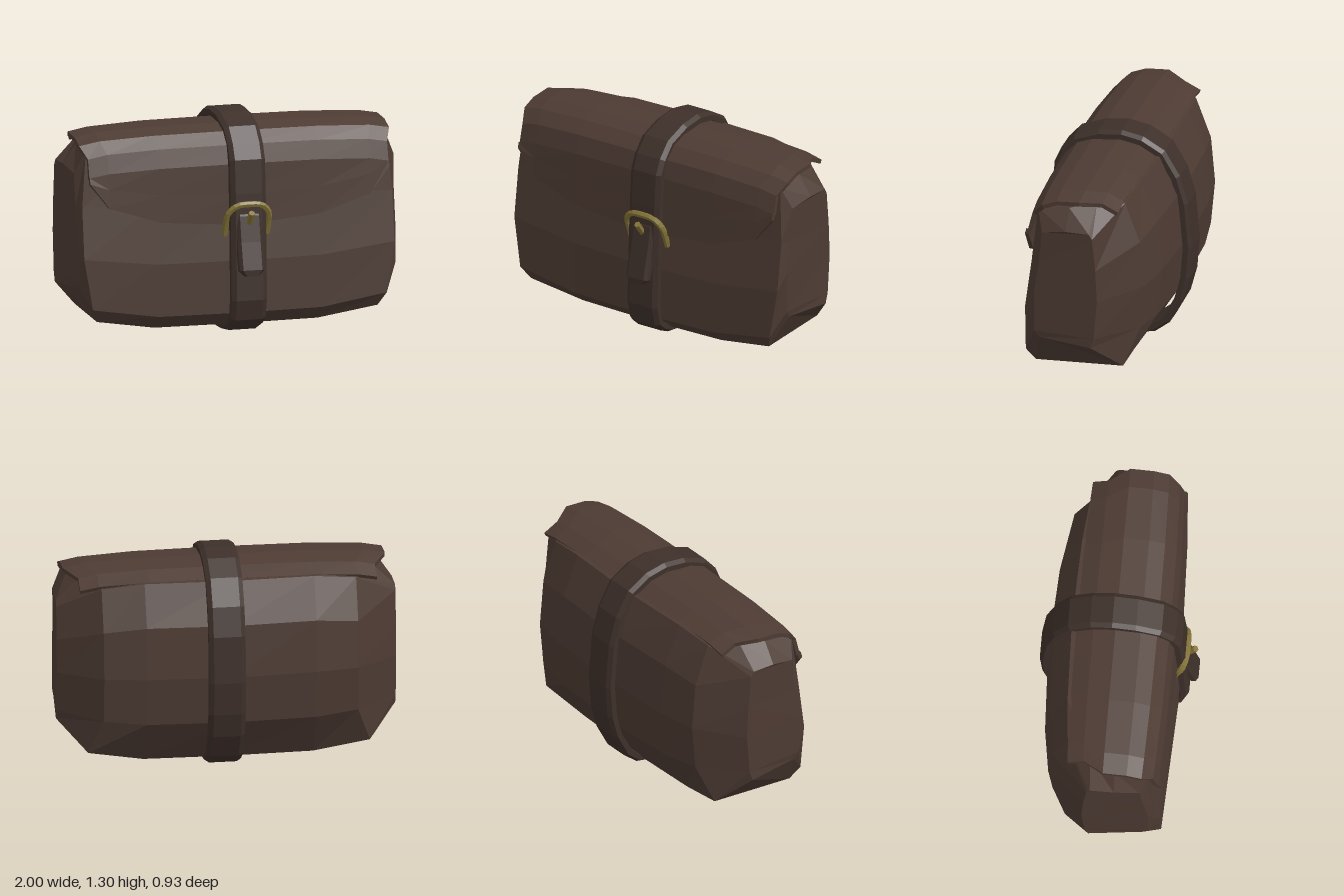
import * as THREE from 'three';

const material = color => new THREE.MeshStandardMaterial({ color, flatShading: true, roughness: 0.8, side: THREE.DoubleSide });
const leather = material(0x4d3b33), darkLeather = material(0x3e302a), brass = material(0x857538);

// Skin a series of equal rings; either capped at both ends or joined into a loop.
function loft(rings, loop = false) {
  const n = rings[0].length, m = rings.length, index = [];
  const quad = (a, b, c, d) => index.push(a, b, c, a, c, d);
  for (let j = 0; j < (loop ? m : m - 1); j++)
    for (let i = 0; i < n; i++) {
      const k = (i + 1) % n, r = j * n, s = ((j + 1) % m) * n;
      quad(r + i, s + i, s + k, r + k);
    }
  if (!loop)
    for (let i = 0; i < n / 2 - 1; i++) {
      const e = (m - 1) * n;
      quad(e + i, e + n - 1 - i, e + n - 2 - i, e + i + 1);
      quad(i, i + 1, n - 2 - i, n - 1 - i);
    }
  const g = new THREE.BufferGeometry();
  g.setAttribute('position', new THREE.Float32BufferAttribute(rings.flat(2), 3));
  g.setIndex(index);
  g.computeVertexNormals();
  return g;
}

// Inward normal of a [z, y] path at point i.
function inward(path, i, loop) {
  const n = path.length;
  const a = path[loop ? (i + n - 1) % n : Math.max(i - 1, 0)];
  const b = path[loop ? (i + 1) % n : Math.min(i + 1, n - 1)];
  const dz = b[0] - a[0], dy = b[1] - a[1], len = Math.hypot(dz, dy);
  return [-dy / len, dz / len];
}

// Bevelled leather band along a [z, y, halfWidth] path.
function band(path, cx, thick, loop) {
  return loft(path.map(([z, y, w], i) => {
    const [nz, ny] = inward(path, i, loop);
    return [[-w, thick], [w, thick], [w, thick * 0.35], [w * 0.75, 0], [-w * 0.75, 0], [-w, thick * 0.35]]
      .map(([x, d]) => [cx + x, y + ny * d, z + nz * d]);
  }), loop);
}

function bodyGeometry() {
  // Half-bag sections as [x, y, z]: end panel, shoulder and middle
  const end = [[.97, .32, .22], [.975, .36, .25], [.975, .6, .25], [.975, .8, .22], [.98, 1, .2], [1, 1.03, .05],
    [1, 1.03, -.09], [1, 1, -.11], [1, .8, -.13], [1, .6, -.14], [1, .36, -.12], [1, .3, -.1]];
  const shoulder = [[.86, .12, .27], [.9, .2, .32], [.95, .5, .31], [.95, .8, .27], [.92, 1.13, .24], [.92, 1.15, .05],
    [.85, 1.18, -.1], [.75, 1.14, -.24], [.75, .9, -.33], [.75, .62, -.355], [.75, .35, -.33], [.83, .13, -.25]];
  const middle = [[0, .06, .26], [0, .14, .355], [0, .45, .35], [0, .8, .305], [0, 1.15, .26], [0, 1.18, .05],
    [0, 1.19, -.12], [0, 1.17, -.28], [0, .93, -.39], [0, .62, -.42], [0, .33, -.39], [0, .06, -.22]];
  const half = middle.map(([, y, z]) => [.5, y, z * .94]);
  const mirror = ring => ring.map(([x, y, z]) => [-x, y, z]);
  return loft([mirror(end), mirror(shoulder), mirror(half), middle, half, shoulder, end]);
}

function flapGeometry() {
  // Columns: x, height of the front hem, drop of the top, front depth factor
  const right = [[.5, .7, .003, .985], [.82, .8, .018, .95], [.94, .95, .04, .93]];
  const columns = [...right.map(([x, ...r]) => [-x, ...r]).reverse(), [0, .66, 0, 1], ...right];
  const over = [[.325, 1.02], [.295, 1.13], [.225, 1.2], [.13, 1.235], [-.02, 1.245], [-.15, 1.22], [-.25, 1.175]];
  return loft(columns.map(([x, hem, drop, depth]) => {
    const path = [[.345, hem], [.335, hem + (1.02 - hem) / 2], ...over.map(([z, y]) => [z, y - drop])]
      .map(([z, y]) => [z * depth, y]);
    const widths = path.map((p, i) => x * (i < 4 ? .975 : i > 6 ? .93 : 1.01));
    const outer = path.map(([z, y], i) => [widths[i], y, z]);
    const inner = path.map(([z, y], i) => {
      const [nz, ny] = inward(path, i, false);
      return [widths[i], y + ny * .025, z + nz * .025];
    });
    return [...outer, ...inner.reverse()];
  }));
}

export function createModel() {
  const group = new THREE.Group();
  const add = (name, geometry, mat) => {
    const mesh = new THREE.Mesh(geometry, mat);
    mesh.name = name;
    group.add(mesh);
    return mesh;
  };
  const cx = 0.035;

  add('bagBody', bodyGeometry(), leather);
  add('flap', flapGeometry(), leather);

  // Strap wrapped all the way round the bag
  const loop = [[.25, .02], [.32, .05], [.38, .1], [.41, .22], [.4, .5], [.385, .85], [.37, 1.05], [.33, 1.14], [.25, 1.23],
    [.1, 1.285], [-.04, 1.3], [-.17, 1.275], [-.3, 1.2], [-.39, 1.05], [-.44, .88], [-.465, .6], [-.45, .4],
    [-.41, .25], [-.33, .1], [-.24, .03], [-.1, .003], [.1, .003]];
  add('strap', band(loop.map(([z, y]) => [z, y, .108]), cx, .05, true), darkLeather);

  // Loose strap end hanging through the buckle
  add('strapTongue', band([[.462, .373, .045], [.463, .41, .077], [.425, .57, .078], [.395, .72, .078], [.365, .79, .07]],
    cx, .045, false), darkLeather);

  // Buckle arch and its prong
  const side = [[.13, .6, .32], [.13, .67, .345], [.125, .73, .37], [.08, .78, .39]];
  const arch = [...side.map(([x, y, z]) => [-x, y, z]), [0, .79, .395], ...side.reverse()]
    .map(([x, y, z]) => new THREE.Vector3(cx + x, y, z));
  add('buckle', new THREE.TubeGeometry(new THREE.CatmullRomCurve3(arch), 20, .019, 6), brass);
  const prong = add('buckleProng', new THREE.CylinderGeometry(.02, .02, .09, 6), brass);
  prong.position.set(cx, .71, .415);
  prong.rotation.x = .65;

  return group;
}
